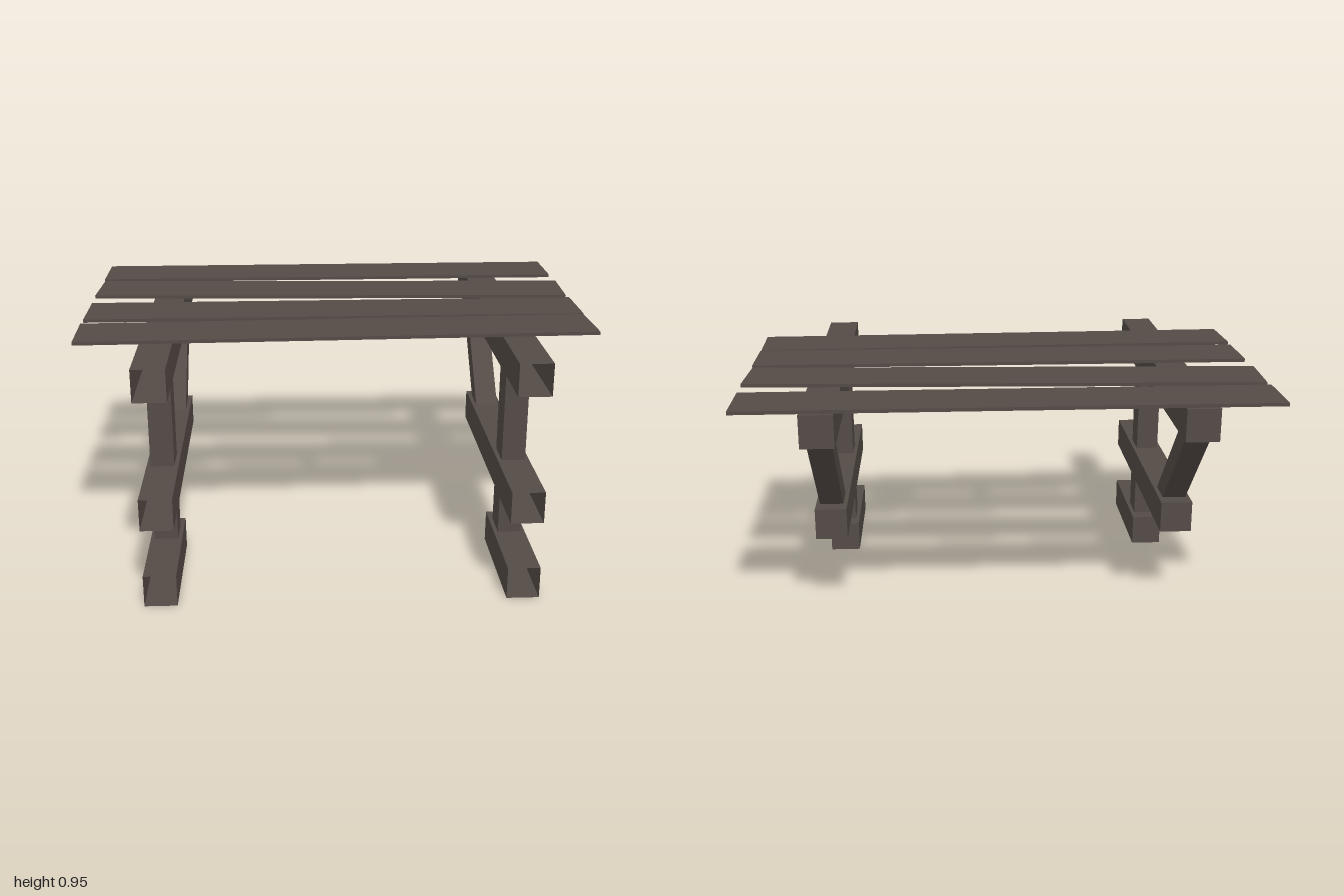
import * as THREE from 'three';

const wood = new THREE.MeshStandardMaterial({ color: 0x544b46, side: THREE.DoubleSide });
wood.name = 'weathered dark wood';

function addMesh(parent, name, geometry, x = 0, y = 0, z = 0) {
  const mesh = new THREE.Mesh(geometry, wood);
  mesh.name = name;
  mesh.position.set(x, y, z);
  parent.add(mesh);
  return mesh;
}

// Hollow beam running along z, with its front end left open
function beamGeometry(width, height, length) {
  const g = new THREE.BoxGeometry(width, height, length);
  const index = Array.from(g.index.array);
  index.splice(24, 6); // drop the +z face
  g.setIndex(index);
  g.clearGroups();
  return g;
}

// Slanted strut: a box sheared backwards so both ends stay level
function braceGeometry(width, height, depth, lean) {
  const g = new THREE.BoxGeometry(width, height, depth);
  const p = g.attributes.position;
  for (let i = 0; i < p.count; i++) p.setZ(i, p.getZ(i) - lean * p.getY(i) / height);
  g.computeVertexNormals();
  return g;
}

function createTrestle(name, x) {
  const trestle = new THREE.Group();
  trestle.name = name;
  trestle.position.x = x;

  // [name, bottom, top, back, front]
  const beams = [
    ['footBeam', 0, 0.125, 0.25, 0.747],
    ['middleBeam', 0.313, 0.437, -0.372, 0.747],
    ['topBeam', 0.812, 0.936, -0.747, 0.747],
  ];
  for (const [part, y0, y1, z0, z1] of beams) {
    addMesh(trestle, part, beamGeometry(0.124, y1 - y0, z1 - z0), 0, (y0 + y1) / 2, (z0 + z1) / 2);
  }

  // Post passes through the middle beam
  addMesh(trestle, 'post', new THREE.BoxGeometry(0.092, 0.687, 0.122), 0, 0.4685, 0.375);
  addMesh(trestle, 'brace', braceGeometry(0.092, 0.375, 0.122, 0.373), 0, 0.6245, -0.4365);
  return trestle;
}

export function createModel() {
  const model = new THREE.Group();
  model.name = 'plankTable';
  model.add(createTrestle('rightTrestle', -0.687), createTrestle('leftTrestle', 0.682));

  // Loose top planks: [centre z, skew]
  const planks = [[-0.608, 0], [-0.29, -0.042], [0.032, 0], [0.31, 0.0225]];
  planks.forEach(([z, skew], i) => {
    const plank = addMesh(model, `plank${i + 1}`, new THREE.BoxGeometry(1.987, 0.013, 0.245), -0.003, 0.9425, z);
    plank.rotation.y = skew;
  });
  return model;
}
